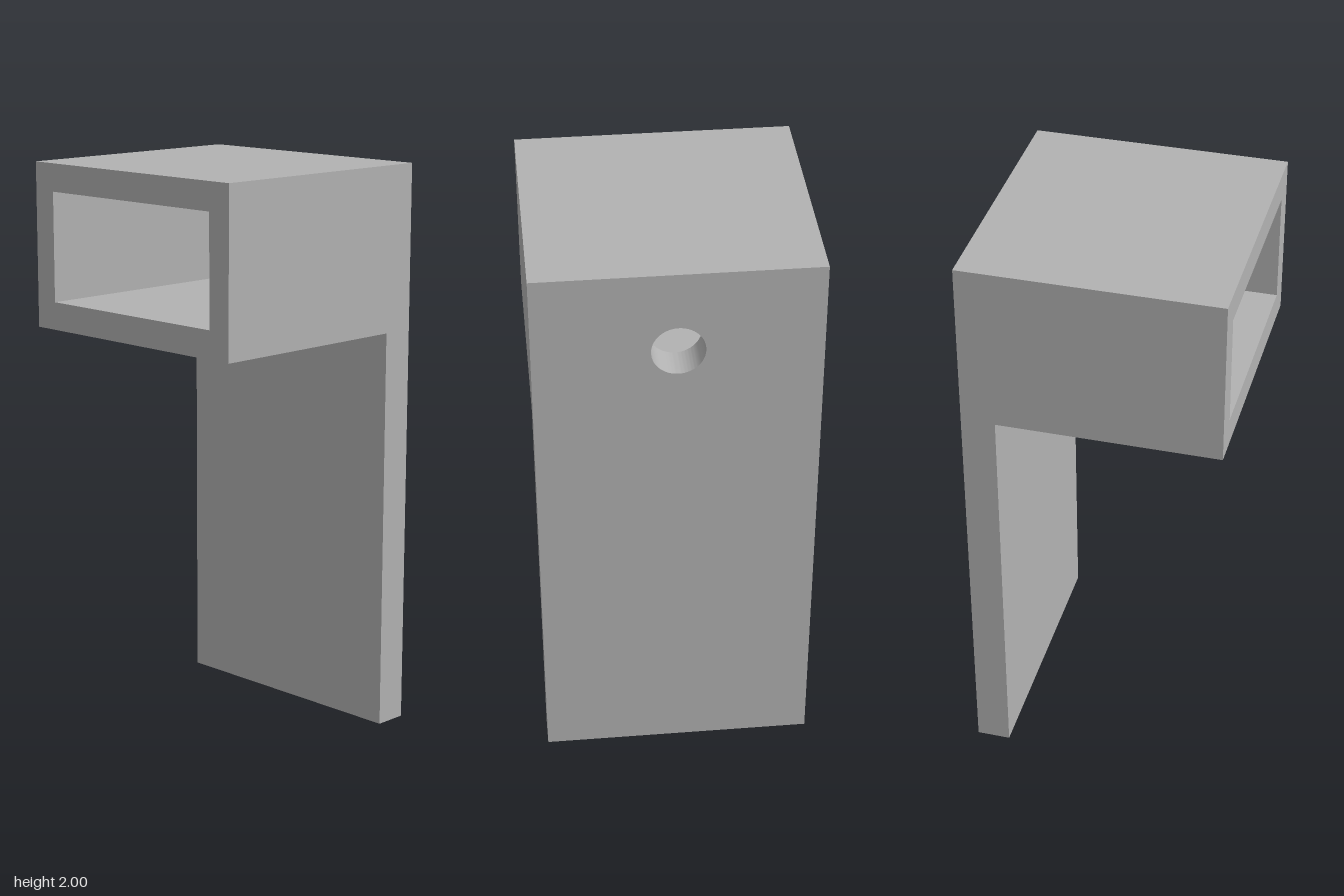
import * as THREE from 'three';
import { toCreasedNormals } from 'three/addons/utils/BufferGeometryUtils.js';

const U = 1 / 17; // design unit: the bracket is 34 units tall
const WIDTH = 16 * U, DEPTH = 15 * U, HEIGHT = 2;
const PLATE = 2 * U, SLEEVE = 9.8 * U;
const MID_Y = HEIGHT - SLEEVE / 2;

// Adds a rectangle centred on x to a shape or path
function rect(path, width, bottom, top) {
  const w = width / 2;
  path.moveTo(-w, bottom);
  path.lineTo(w, bottom);
  path.lineTo(w, top);
  path.lineTo(-w, top);
  path.closePath();
  return path;
}

// Extrudes a z-y profile along +x, starting at x0
function extrudeX(shape, x0, length) {
  const geo = new THREE.ExtrudeGeometry(shape, { depth: length, bevelEnabled: false, curveSegments: 48 });
  geo.rotateY(Math.PI / 2);
  geo.translate(x0, 0, 0);
  return toCreasedNormals(geo, Math.PI / 6);
}

export function createModel() {
  const group = new THREE.Group();
  group.name = 'bracket';
  const grey = new THREE.MeshStandardMaterial({ color: 0xb2b2b2 });
  grey.name = 'grey';

  const add = (name, geo) => {
    const mesh = new THREE.Mesh(geo, grey);
    mesh.name = name;
    group.add(mesh);
  };

  // Tall plate with a round screw hole
  const plate = rect(new THREE.Shape(), WIDTH, 0, HEIGHT);
  plate.holes.push(new THREE.Path().absarc(0, MID_Y, 1.5 * U, 0, Math.PI * 2, true));
  add('mountingPlate', extrudeX(plate, DEPTH / 2 - PLATE, PLATE));

  // Rectangular sleeve, open at the far end and closed by the plate
  const sleeve = rect(new THREE.Shape(), WIDTH, HEIGHT - SLEEVE, HEIGHT);
  sleeve.holes.push(rect(new THREE.Path(), 13 * U, MID_Y - 3.25 * U, MID_Y + 3.25 * U));
  add('sleeve', extrudeX(sleeve, -DEPTH / 2, DEPTH - PLATE));

  return group;
}
